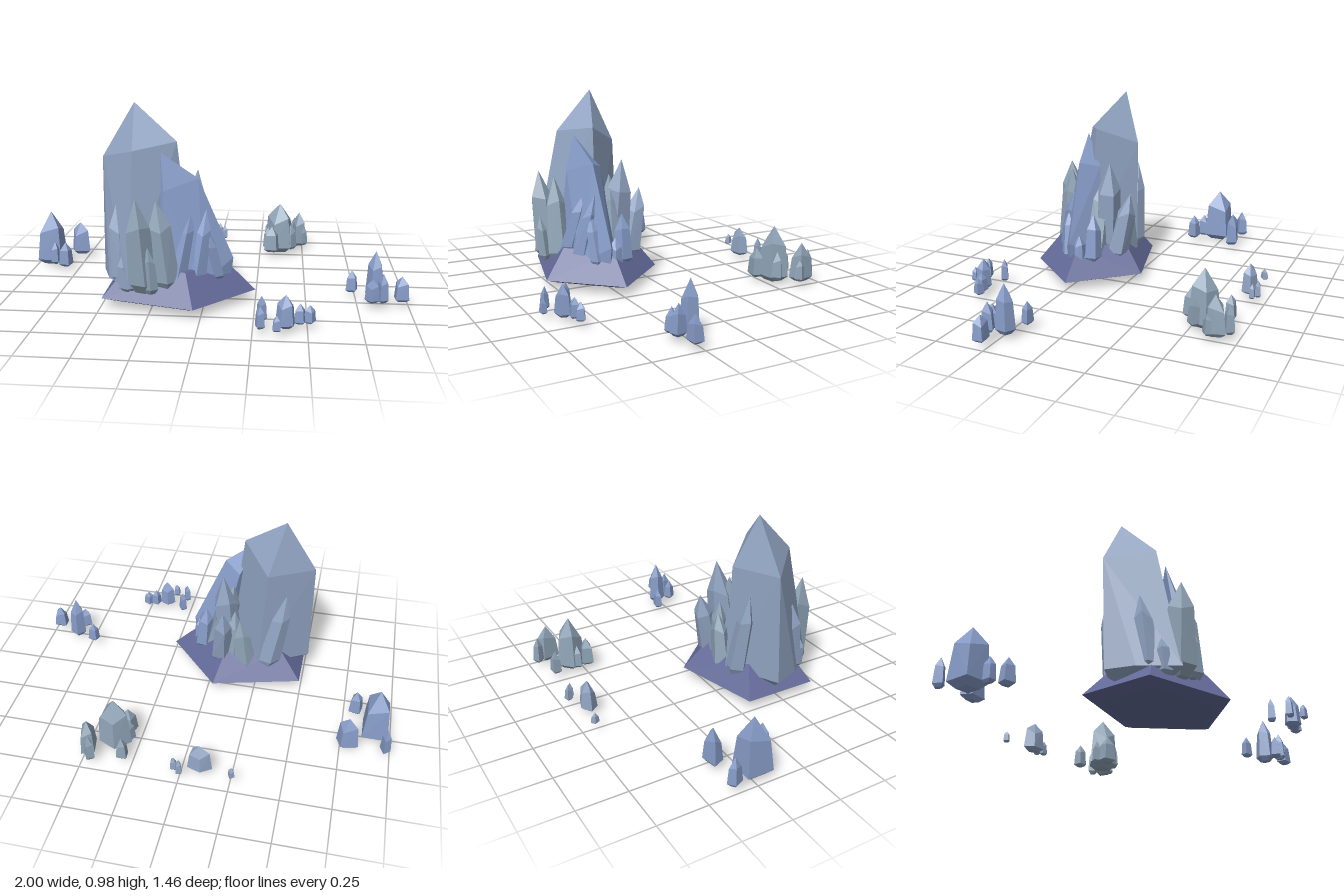
import * as THREE from 'three';
import { ConvexGeometry } from 'three/addons/geometries/ConvexGeometry.js';

const material = (color) => new THREE.MeshStandardMaterial({ color, flatShading: true });
const BLUE = material(0x879cc8);
const PALE = material(0x91a4c2);
const SLATE = material(0x8fa3b6);
const VIOLET = material(0x636a98);

// Faceted solid spanned by a few corner points
function solid(name, points, mat) {
  const mesh = new THREE.Mesh(new ConvexGeometry(points.map((p) => new THREE.Vector3(...p))), mat);
  mesh.name = name;
  return mesh;
}

// Leaning crystal: blunt foot, wide lower ring, narrower shoulder ring, pointed tip
function crystal(name, foot, tip, rx, rz, mat, sides, turn, shoulder) {
  const at = (t) => foot.map((f, i) => f + (tip[i] - f) * t);
  const points = [tip, foot];
  for (const [t, s] of [[0.03, 0.55], [0.13, 1], [shoulder, 0.8]]) {
    const c = at(t);
    for (let i = 0; i < sides; i++) {
      const a = turn + (i / sides) * Math.PI * 2;
      // uneven shoulder height, as on a natural point
      const dy = t === shoulder ? Math.sin(a * 2 + turn) * rx * 0.25 : 0;
      points.push([c[0] + Math.cos(a) * rx * s, c[1] + dy, c[2] + Math.sin(a) * rz * s]);
    }
  }
  return solid(name, points, mat);
}

function rockBase() {
  const points = [[-0.16, 0.02, 0.24]];
  for (const [y, s] of [[0.03, 0.8], [0.055, 1], [0.2, 0.64]]) {
    for (let i = 0; i < 5; i++) {
      const a = (i / 5) * Math.PI * 2;
      points.push([-0.16 + Math.cos(a) * 0.41 * s, y, 0.24 + Math.sin(a) * 0.325 * s]);
    }
  }
  return solid('rockBase', points, VIOLET);
}

export function createModel() {
  const model = new THREE.Group();
  model.name = 'crystalFormation';

  const cluster = new THREE.Group();
  cluster.name = 'mainCluster';
  model.add(cluster);
  cluster.add(rockBase());

  // Tallest crystal
  cluster.add(solid('mainCrystal', [
    [-0.36, 0.98, 0.16],
    [-0.52, 0.71, 0.18], [-0.34, 0.77, 0.36], [-0.14, 0.8, 0.24], [-0.29, 0.71, 0.06],
    [-0.52, 0.13, 0.2], [-0.47, 0.13, 0.34], [-0.34, 0.13, 0.5], [-0.06, 0.13, 0.26], [-0.26, 0.14, 0.05],
    [-0.46, 0.08, 0.22], [-0.34, 0.08, 0.4], [-0.24, 0.08, 0.1],
  ], PALE));

  // Second crystal, leaning away from the first
  cluster.add(solid('leaningCrystal', [
    [-0.21, 0.76, 0.32],
    [-0.03, 0.63, 0.29], [-0.19, 0.58, 0.37], [-0.12, 0.6, 0.21],
    [0.14, 0.23, 0.27], [0.13, 0.15, 0.27], [0.0, 0.13, 0.38], [-0.2, 0.13, 0.42], [-0.02, 0.13, 0.15],
  ], BLUE));

  // Shards around the two big crystals: foot, tip, rx, rz, material
  [
    [[-0.28, 0.09, 0.44], [-0.31, 0.57, 0.48], 0.075, 0.08, SLATE],
    [[-0.17, 0.1, 0.42], [-0.22, 0.55, 0.43], 0.07, 0.07, SLATE],
    [[-0.39, 0.1, 0.36], [-0.43, 0.5, 0.33], 0.06, 0.06, PALE],
    [[-0.36, 0.09, 0.42], [-0.39, 0.27, 0.42], 0.04, 0.04, PALE],
    [[-0.24, 0.1, 0.48], [-0.25, 0.34, 0.5], 0.04, 0.03, SLATE],
    [[-0.13, 0.12, 0.4], [-0.06, 0.49, 0.32], 0.045, 0.06, BLUE],
    [[-0.04, 0.12, 0.36], [0.01, 0.48, 0.3], 0.05, 0.06, BLUE],
    [[0.07, 0.12, 0.31], [0.02, 0.38, 0.33], 0.035, 0.04, BLUE],
    [[0.1, 0.1, 0.23], [0.1, 0.27, 0.23], 0.04, 0.04, BLUE],
    [[-0.08, 0.1, 0.16], [-0.05, 0.64, 0.12], 0.08, 0.08, PALE],
    [[0.0, 0.11, 0.19], [-0.1, 0.56, 0.17], 0.075, 0.075, SLATE],
    [[0.07, 0.12, 0.17], [0.05, 0.38, 0.17], 0.05, 0.05, BLUE],
    [[-0.05, 0.11, 0.09], [-0.07, 0.48, 0.01], 0.06, 0.065, PALE],
    [[-0.1, 0.1, 0.08], [-0.12, 0.44, 0.1], 0.06, 0.05, SLATE],
    [[-0.19, 0.1, 0.07], [-0.15, 0.4, 0.07], 0.06, 0.05, SLATE],
    [[-0.3, 0.1, 0.08], [-0.39, 0.58, 0.1], 0.065, 0.05, PALE],
  ].forEach(([foot, tip, rx, rz, mat], i) => cluster.add(crystal('shard', foot, tip, rx, rz, mat, 5, i * 1.3, 0.7)));

  // Small outlying groups: material, sides of the largest, then x, z, foot height, tip height, rx, rz
  const outliers = {
    leftBackGroup: [BLUE, 4, [
      [-0.92, -0.225, 0.005, 0.31, 0.092, 0.095], [-0.975, -0.355, 0.03, 0.18, 0.028, 0.038],
      [-0.785, -0.35, 0.025, 0.215, 0.064, 0.042], [-0.88, -0.14, 0.03, 0.16, 0.028, 0.037],
      [-0.81, -0.1, 0.03, 0.17, 0.042, 0.038]]],
    rightBackGroup: [SLATE, 5, [
      [0.365, -0.555, 0.005, 0.3, 0.088, 0.08], [0.455, -0.705, 0.03, 0.18, 0.03, 0.03],
      [0.48, -0.645, 0.02, 0.225, 0.046, 0.066], [0.3, -0.665, 0.03, 0.16, 0.036, 0.032],
      [0.32, -0.48, 0.025, 0.18, 0.052, 0.044], [0.3, -0.54, 0.03, 0.16, 0.034, 0.034],
      [0.43, -0.53, 0.03, 0.18, 0.035, 0.035], [0.505, -0.62, 0.03, 0.15, 0.026, 0.03]]],
    backGroup: [PALE, 5, [
      [-0.09, -0.65, 0.02, 0.18, 0.066, 0.042], [-0.255, -0.685, 0.04, 0.1, 0.018, 0.022],
      [0.0, -0.715, 0.04, 0.13, 0.02, 0.022], [0.03, -0.695, 0.04, 0.12, 0.022, 0.018]]],
    rightGroup: [BLUE, 5, [
      [0.84, 0.23, 0.02, 0.27, 0.046, 0.05], [0.82, 0.31, 0.03, 0.15, 0.037, 0.032],
      [0.87, 0.305, 0.03, 0.18, 0.03, 0.04], [0.965, 0.28, 0.03, 0.16, 0.046, 0.036],
      [0.73, 0.18, 0.035, 0.15, 0.036, 0.027]]],
    frontGroup: [BLUE, 5, [
      [0.4, 0.635, 0.02, 0.18, 0.048, 0.04], [0.29, 0.58, 0.03, 0.15, 0.026, 0.026],
      [0.285, 0.68, 0.03, 0.14, 0.026, 0.022], [0.36, 0.715, 0.035, 0.11, 0.025, 0.019],
      [0.465, 0.605, 0.03, 0.13, 0.032, 0.03], [0.51, 0.595, 0.03, 0.12, 0.03, 0.028]]],
  };
  for (const [name, [mat, sides, list]] of Object.entries(outliers)) {
    const group = new THREE.Group();
    group.name = name;
    list.forEach(([x, z, y0, y1, rx, rz], i) => group.add(crystal(
      'smallCrystal', [x, y0, z], [x, y1, z], rx, rz, mat, i ? 4 : sides, i ? i * 0.25 : Math.PI / 4, 0.68)));
    model.add(group);
  }

  // Settle on the ground
  model.position.y = -new THREE.Box3().setFromObject(model).min.y;
  return model;
}
